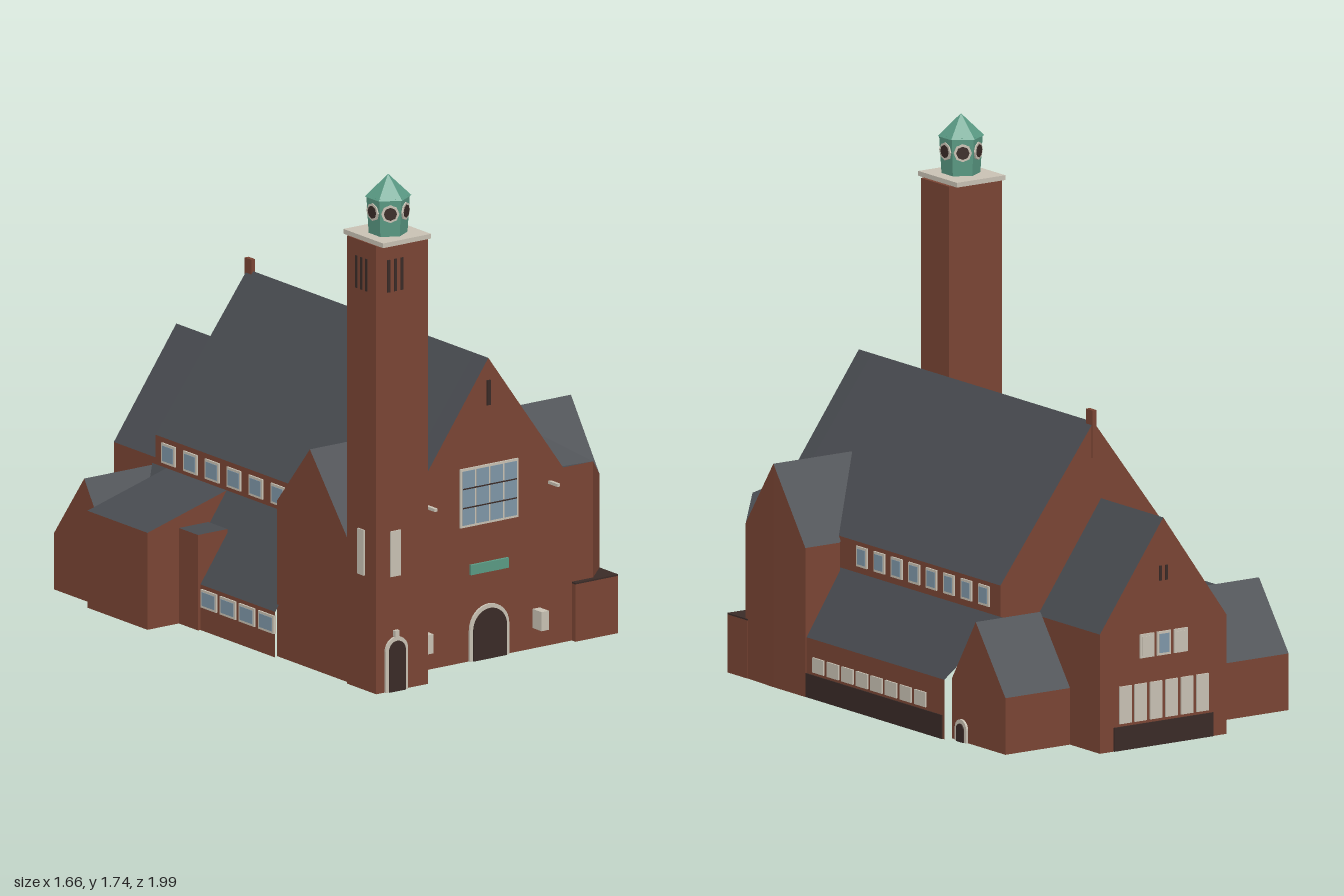
import * as THREE from 'three';

const mat = (color, side = THREE.FrontSide) => new THREE.MeshStandardMaterial({ color, side, flatShading: true });
const brick = mat(0x7a4534, THREE.DoubleSide), slate = mat(0x484b50, THREE.DoubleSide);
const copper = mat(0x5a9a84), stone = mat(0xc9c2b4), glass = mat(0x7f97a8), dark = mat(0x3a2b27);

function add(parent, name, geometry, material, x = 0, y = 0, z = 0) {
  const mesh = new THREE.Mesh(geometry, material);
  mesh.name = name;
  mesh.position.set(x, y, z);
  parent.add(mesh);
  return mesh;
}

// Box centred in x and z, with its underside at y
function box(parent, name, w, h, d, x, y, z, material) {
  return add(parent, name, new THREE.BoxGeometry(w, h, d), material, x, y + h / 2, z);
}

// Thin surface made of convex panels, each a list of corners
function panels(parent, name, list, material) {
  const positions = [];
  for (const p of list) {
    for (let i = 1; i < p.length - 1; i++) positions.push(...p[0], ...p[i], ...p[i + 1]);
  }
  const geometry = new THREE.BufferGeometry();
  geometry.setAttribute('position', new THREE.Float32BufferAttribute(positions, 3));
  geometry.computeVertexNormals();
  add(parent, name, geometry, material);
}

// Open shell of brick walls and a slate roof; top is the roof line in (across, height).
// It runs along z, or along x with alongX. A limit given as a function of height
// lets the roof end on the slope of a neighbouring roof.
function roofed(parent, name, top, from, to, { alongX = false, base = 0, ends = [1, 1], sides = [1, 1] } = {}) {
  const group = new THREE.Group();
  group.name = name;
  const at = (u, y, d) => (alongX ? [d, y, u] : [u, y, d]);
  const limits = [from, to].map((v) => (typeof v === 'function' ? v : () => v));
  const [near, far] = limits;
  const walls = [], roof = [];
  for (let i = 0; i < top.length - 1; i++) {
    const [[u0, y0], [u1, y1]] = [top[i], top[i + 1]];
    roof.push([at(u0, y0, near(y0)), at(u1, y1, near(y1)), at(u1, y1, far(y1)), at(u0, y0, far(y0))]);
    limits.forEach((limit, k) => {
      if (ends[k]) walls.push([at(u0, base, limit(y0)), at(u1, base, limit(y1)), at(u1, y1, limit(y1)), at(u0, y0, limit(y0))]);
    });
  }
  [top[0], top[top.length - 1]].forEach(([u, y], k) => {
    if (sides[k]) walls.push([at(u, base, near(y)), at(u, base, far(y)), at(u, y, far(y)), at(u, y, near(y))]);
  });
  panels(group, name + 'Walls', walls, brick);
  panels(group, name + 'Roof', roof, slate);
  parent.add(group);
}

// Framed window on a wall; turn is the direction it faces (0 = +z)
function wallWindow(parent, name, w, h, x, y, z, turn = 0, cols = 1, pane = glass) {
  const group = new THREE.Group();
  group.name = name;
  group.position.set(x, y, z);
  group.rotation.y = turn;
  box(group, 'windowFrame', w, h, 0.012, 0, 0, 0, stone);
  const bar = 0.008, pw = (w - bar) / cols;
  for (let i = 0; i < cols; i++) {
    box(group, 'windowPane', pw - bar, h - 2 * bar, 0.016, (i - (cols - 1) / 2) * pw, bar, 0, pane);
  }
  parent.add(group);
}

function arch(w, h, depth) {
  const r = w / 2, shape = new THREE.Shape();
  shape.moveTo(-r, 0);
  shape.lineTo(r, 0);
  shape.lineTo(r, h - r);
  shape.absarc(0, h - r, r, 0, Math.PI, false);
  shape.lineTo(-r, 0);
  return new THREE.ExtrudeGeometry(shape, { depth, bevelEnabled: false, curveSegments: 8 });
}

function archDoor(parent, name, w, h, x, z, turn = 0) {
  const group = new THREE.Group();
  group.name = name;
  group.position.set(x, 0, z);
  group.rotation.y = turn;
  add(group, 'doorFrame', arch(w, h, 0.008), stone);
  add(group, 'doorLeaf', arch(w - 0.024, h - 0.014, 0.012), dark);
  parent.add(group);
}

function buildTower(parent) {
  const tower = new THREE.Group();
  tower.name = 'tower';
  box(tower, 'towerShaft', 0.212, 1.525, 0.16, -0.371, 0, 0.77, brick);
  box(tower, 'towerCap', 0.195, 0.016, 0.218, -0.375, 1.525, 0.773, stone);
  // Belfry slots on the front and outer side
  for (const i of [-1, 0, 1]) {
    box(tower, 'frontSlot', 0.011, 0.11, 0.006, -0.4 + i * 0.027, 1.36, 0.85, dark);
    box(tower, 'sideSlot', 0.006, 0.11, 0.011, -0.477, 1.36, 0.77 + i * 0.027, dark);
  }
  box(tower, 'frontSlit', 0.042, 0.155, 0.01, -0.4, 0.39, 0.85, stone);
  box(tower, 'sideSlit', 0.01, 0.155, 0.035, -0.477, 0.39, 0.77, stone);
  box(tower, 'doorLamp', 0.018, 0.022, 0.016, -0.4, 0.185, 0.855, stone);
  archDoor(tower, 'towerDoor', 0.09, 0.185, -0.398, 0.85);
  // Copper lantern with six round openings
  const lantern = new THREE.Group();
  lantern.name = 'lantern';
  lantern.position.set(-0.378, 1.54, 0.782);
  add(lantern, 'lanternDrum', new THREE.CylinderGeometry(0.072, 0.064, 0.13, 6), copper, 0, 0.065, 0);
  add(lantern, 'lanternRoof', new THREE.ConeGeometry(0.077, 0.075, 6), copper, 0, 0.1625, 0);
  for (let i = 0; i < 6; i++) {
    const face = new THREE.Group();
    face.name = 'lanternOpening';
    face.rotation.y = (i + 0.5) * Math.PI / 3;
    add(face, 'openingRim', new THREE.CylinderGeometry(0.03, 0.03, 0.01, 8), stone, 0, 0.08, 0.06).rotation.x = Math.PI / 2;
    add(face, 'openingDark', new THREE.CylinderGeometry(0.022, 0.022, 0.014, 8), dark, 0, 0.08, 0.06).rotation.x = Math.PI / 2;
    lantern.add(face);
  }
  tower.add(lantern);
  parent.add(tower);
}

function buildFacade(parent) {
  const z = 0.716, x = 0.08;
  wallWindow(parent, 'greatWindow', 0.236, 0.2, x, 0.46, z, 0, 4);
  for (const y of [0.525, 0.59]) box(parent, 'greatWindowBar', 0.22, 0.004, 0.02, x, y, z, dark);
  box(parent, 'copperPanel', 0.155, 0.034, 0.02, x, 0.295, z, copper);
  archDoor(parent, 'mainDoor', 0.16, 0.185, x, z);
  box(parent, 'gableSlit', 0.014, 0.085, 0.008, x, 0.86, z, dark);
  for (const s of [-1, 1]) {
    box(parent, 'wallLantern', 0.03, 0.065, 0.05, x - 0.04 + s * 0.235, 0.07, z + 0.025, stone);
    box(parent, 'bracket', 0.012, 0.01, 0.05, x + s * 0.25, 0.55, z + 0.025, stone);
  }
  box(parent, 'cornerBlock', 0.175, 0.195, 0.115, 0.508, 0, 0.678, brick);
  box(parent, 'cornerBlockLid', 0.175, 0.005, 0.115, 0.508, 0.195, 0.678, dark);
}

function buildSideWindows(parent) {
  const right = Math.PI / 2, left = -right;
  for (let i = 0; i < 8; i++) {
    wallWindow(parent, 'clerestoryWindow', 0.06, 0.068, 0.455, 0.438, 0.17 - i * 0.098, right);
    box(parent, 'aisleWindow', 0.012, 0.05, 0.064, 0.595, 0.09, 0.22 - i * 0.082, stone);
  }
  for (let i = 0; i < 6; i++) {
    wallWindow(parent, 'clerestoryWindow', 0.075, 0.068, -0.295, 0.435, -0.53 + i * 0.12, left);
  }
  for (let i = 0; i < 4; i++) {
    wallWindow(parent, 'aisleWindow', 0.085, 0.062, -0.48, 0.08, -0.06 + i * 0.105, left);
  }
  box(parent, 'aislePlinth', 0.008, 0.08, 0.77, 0.595, 0, -0.09, dark);
  archDoor(parent, 'sideDoor', 0.065, 0.075, 0.565, -0.545, right);
}

function buildBackWindows(parent) {
  const z = -0.955, x = 0.05;
  for (let i = 0; i < 6; i++) {
    box(parent, 'tallBackWindow', 0.048, 0.125, 0.012, x + (i - 2.5) * 0.062, 0.09, z, stone);
  }
  for (const i of [-1, 0, 1]) {
    wallWindow(parent, 'upperBackWindow', 0.055, 0.08, x + i * 0.068, 0.3, z, Math.PI, 1, i ? stone : glass);
  }
  for (const s of [-1, 1]) box(parent, 'backSlit', 0.01, 0.05, 0.008, x + s * 0.012, 0.55, z, dark);
  box(parent, 'backPlinth', 0.4, 0.08, 0.008, x, 0, z, dark);
}

export function createModel() {
  const model = new THREE.Group();
  model.name = 'church';
  const body = new THREE.Group();
  body.name = 'churchBody';

  // Nave with clerestory, and the front gable with a flat shoulder
  roofed(body, 'nave', [[-0.295, 0.52], [0.08, 1.02], [0.455, 0.52]], -0.605, 0.64, { base: 0.41, ends: [1, 0] });
  roofed(body, 'frontBay', [[-0.27, 0.53], [0.08, 1.02], [0.385, 0.595], [0.508, 0.595]], 0.62, 0.716, { ends: [0, 1], sides: [1, 0] });

  // Cross gables dying into the nave roof
  const slope = (y) => (1.02 - y) * 0.75;
  roofed(body, 'leftTransept', [[0.29, 0.53], [0.47, 0.745], [0.675, 0.49]], -0.465, (y) => 0.12 - slope(y),
    { alongX: true, ends: [1, 0] });
  roofed(body, 'rightTransept', [[0.29, 0.5], [0.47, 0.75]], (y) => 0.07 + slope(y), 0.6,
    { alongX: true, ends: [0, 1], sides: [1, 0] });

  // Canted front corner of the right cross gable
  const corner = [[0.508, 0.595, 0.716], [0.594, 0.52, 0.634], [0.6, 0.75, 0.47]];
  const foot = ([x, , z]) => [x, 0, z];
  panels(body, 'cornerWalls', [0, 1].map((i) => [foot(corner[i]), foot(corner[i + 1]), corner[i + 1], corner[i]]), brick);
  panels(body, 'cornerRoof', [[[0.28, 0.75, 0.47], [0.37, 0.595, 0.7], ...corner]], slate);

  // Lean-to aisles and side annex
  const valley = (y) => -0.485 - (y - 0.2) * 0.63;
  roofed(body, 'leftAisle', [[-0.48, 0.155], [-0.295, 0.42]], valley, 0.3, { ends: [0, 0], sides: [1, 0] });
  roofed(body, 'rightAisle', [[0.455, 0.415], [0.595, 0.2]], valley, 0.3, { ends: [0, 0], sides: [0, 1] });
  roofed(body, 'leftAnnex', [[-0.618, 0.33], [-0.295, 0.42]], -0.545, -0.215, { sides: [1, 0] });
  roofed(body, 'annexReturn', [[-0.49, 0.325], [-0.37, 0.325]], -0.215, -0.11, { ends: [0, 1], sides: [1, 0] });

  // Low cross hall on both sides of the gabled block at the back
  const hall = [[-0.787, 0.19], [-0.62, 0.415], [-0.485, 0.2]];
  roofed(body, 'leftHall', hall, -0.575, -0.205, { alongX: true, ends: [1, 0] });
  roofed(body, 'rightHall', hall, 0.305, 0.565, { alongX: true, ends: [0, 1] });
  roofed(body, 'backBlock', [[-0.205, 0.4], [0.05, 0.76], [0.305, 0.4]], -0.955, -0.605, { ends: [1, 0] });
  box(body, 'ridgeFin', 0.015, 0.16, 0.036, 0.08, 0.9, -0.592, brick);

  buildTower(body);
  buildFacade(body);
  buildSideWindows(body);
  buildBackWindows(body);

  // The church stands at an angle to the axes
  body.rotation.y = THREE.MathUtils.degToRad(22.4);
  model.add(body);
  return model;
}
